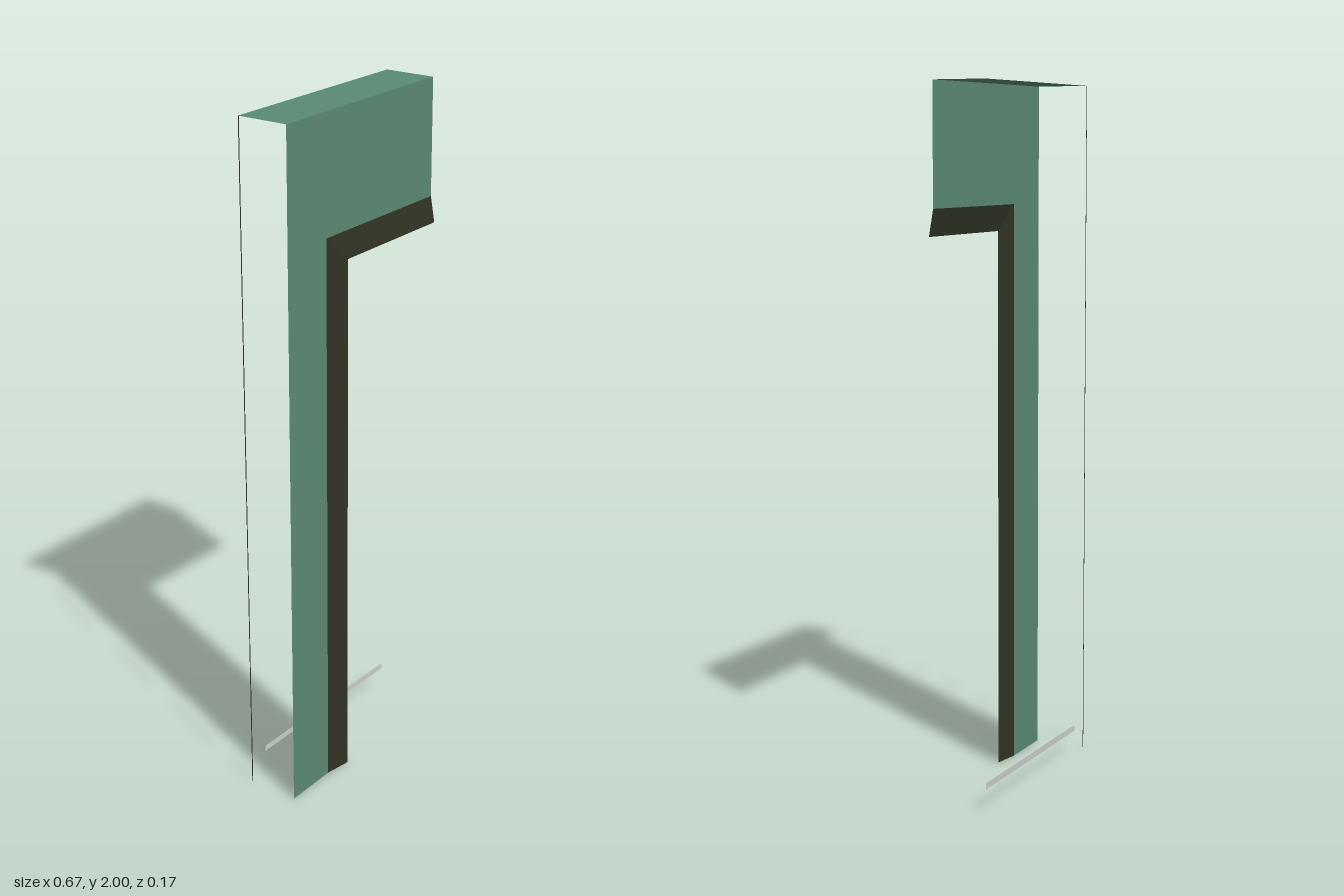
import * as THREE from 'three';

const mat = (name, color) => {
  const m = new THREE.MeshStandardMaterial({ color, side: THREE.DoubleSide, flatShading: true });
  m.name = name;
  return m;
};

// Flat quad from four corners, counter-clockwise as seen from its front
function quad(name, material, a, b, c, d) {
  const g = new THREE.BufferGeometry();
  g.setAttribute('position', new THREE.Float32BufferAttribute([...a, ...b, ...c, ...d], 3));
  g.setIndex([0, 1, 2, 0, 2, 3]);
  g.computeVertexNormals();
  const mesh = new THREE.Mesh(g, material);
  mesh.name = name;
  return mesh;
}

export function createModel() {
  const green = mat('green paint', 0x5a8a74);
  const dark = mat('dark olive trim', 0x2f3323);
  const grey = mat('pale grey', 0xcccec8);
  const group = new THREE.Group();
  group.name = 'doorFrameHalf';

  const L = -0.333, R = 0.333, H = 2;
  const back = -0.085, front = 0.07, lip = 0.083;
  const outerX = -0.165, innerX = -0.085; // trim edges on the post
  const outerY = 1.66, innerY = 1.585;    // trim edges under the lintel

  // Front face: post and lintel in one L-shaped sheet
  const shape = new THREE.Shape([
    [L, 0], [outerX, 0], [outerX, outerY], [R, outerY], [R, H], [L, H],
  ].map(([x, y]) => new THREE.Vector2(x, y)));
  const face = new THREE.Mesh(new THREE.ShapeGeometry(shape), green);
  face.name = 'frontFace';
  face.position.z = front;
  group.add(face);

  group.add(
    // Top sheet
    quad('topFace', green, [L, H, front], [R, H, front], [R, H, back], [L, H, back]),
    // Mitred trim sloping forward around the opening
    quad('postTrim', dark, [outerX, 0, front], [innerX, 0, lip], [innerX, innerY, lip], [outerX, outerY, front]),
    quad('lintelTrim', dark, [innerX, innerY, lip], [R, innerY, lip], [R, outerY, front], [outerX, outerY, front]),
    // Fine strip down the rear corner
    quad('rearCornerStrip', dark, [L + 0.004, 0, back], [L, 0, back], [L, H, back], [L + 0.004, H, back]),
    // Low rail across the back
    quad('rearRail', grey, [-0.267, 0.071, back], [R, 0.071, back], [R, 0.089, back], [-0.267, 0.089, back]),
  );
  return group;
}
